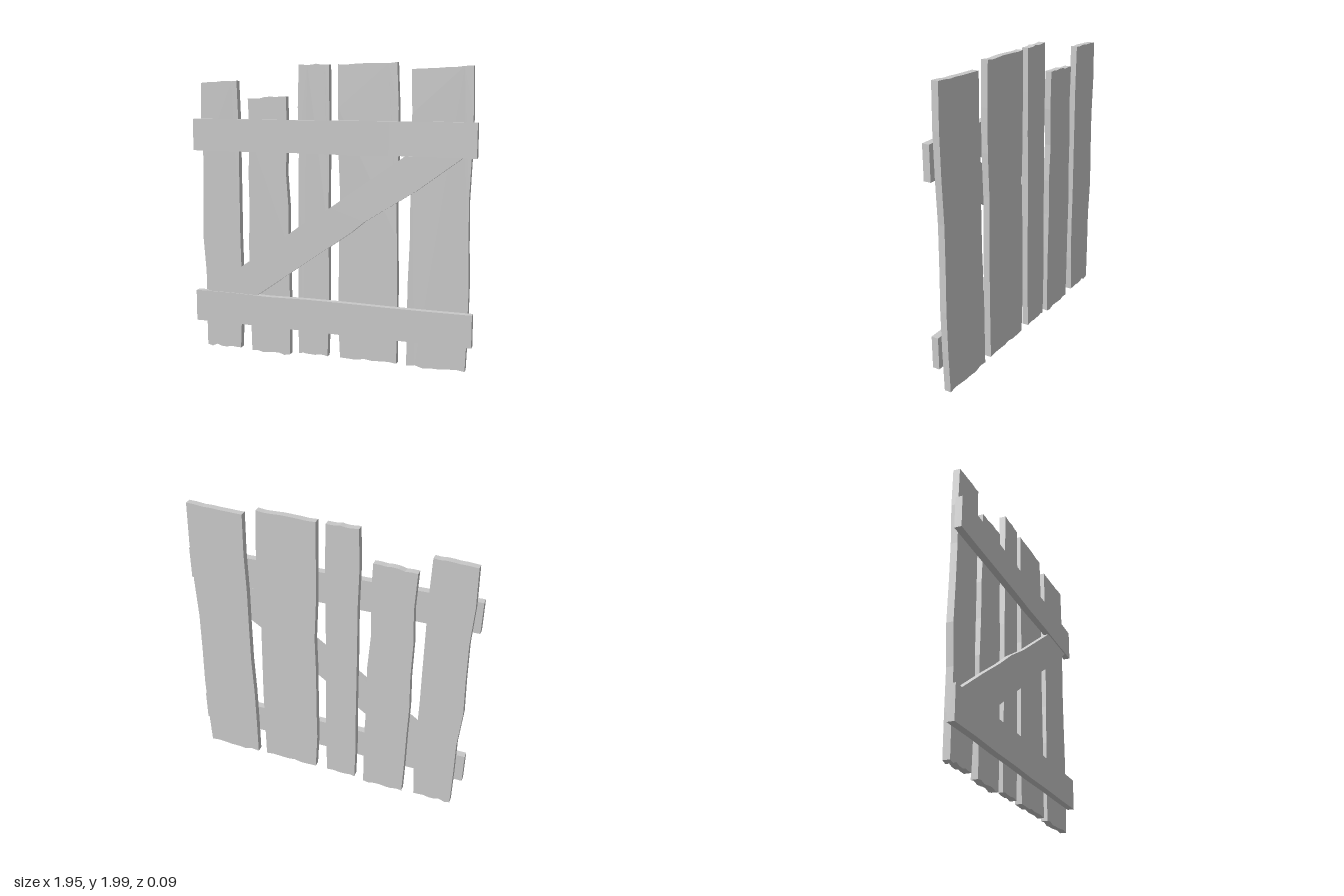
import * as THREE from 'three';

export function createModel() {
  const group = new THREE.Group();
  const wood = new THREE.MeshStandardMaterial({ color: 0xc8c8c8 });
  wood.name = 'light grey wood';

  // Small seeded noise for worn edges, from -1 to 1
  let seed = 7;
  const noise = () => {
    seed = (seed * 16807) % 2147483647;
    return (seed / 2147483647) * 2 - 1;
  };

  // Worn edge from a to b: the steps between the ends stray up or down
  function wornEdge([ax, ay], [bx, by], steps, wear) {
    return Array.from({ length: steps + 1 }, (_, i) => {
      const t = i / steps;
      const stray = i > 0 && i < steps ? noise() * wear : 0;
      return [ax + (bx - ax) * t, ay + (by - ay) * t + stray];
    });
  }

  // Flat board: an outline in the xy plane, extruded from z0 to z1
  function board(name, outline, z0, z1) {
    const shape = new THREE.Shape(outline.map(([x, y]) => new THREE.Vector2(x, y)));
    const geometry = new THREE.ExtrudeGeometry(shape, { depth: z1 - z0, bevelEnabled: false });
    geometry.translate(0, 0, z0);
    const mesh = new THREE.Mesh(geometry, wood);
    mesh.name = name;
    group.add(mesh);
  }

  // Upright plank: x of its left and right outline at even heights, worn ends
  function plank(name, bottom, topStart, topEnd, xStart, xEnd) {
    const last = xStart.length - 1;
    const side = (xs, top) => xs.map((x, i) => [x, bottom + ((top - bottom) * i) / last]);
    const start = side(xStart, topStart);
    const end = side(xEnd, topEnd);
    board(name, [
      ...wornEdge(start[0], end[0], 7, 0.009),
      ...end.slice(1, last),
      ...wornEdge(end[last], start[last], 7, 0.006),
      ...start.slice(1, last).reverse(),
    ], -0.045, 0);
  }
  plank('plank1', 0.021, 1.872, 1.885,
    [-0.92, -0.922, -0.92, -0.94, -0.93, -0.925, -0.937, -0.93],
    [-0.66, -0.647, -0.646, -0.652, -0.652, -0.653, -0.653, -0.662]);
  plank('plank2', 0.011, 1.765, 1.78,
    [-0.572, -0.578, -0.58, -0.586, -0.578, -0.582, -0.57, -0.58],
    [-0.287, -0.282, -0.285, -0.293, -0.288, -0.306, -0.295, -0.303]);
  plank('plank3', 0.027, 1.988, 1.985,
    [-0.218, -0.223, -0.218, -0.217, -0.216, -0.212, -0.218, -0.21],
    [-0.01, 0, 0, -0.002, -0.001, 0.002, 0.003, 0]);
  plank('plank4', 0.03, 1.985, 1.994,
    [0.08, 0.066, 0.07, 0.07, 0.078, 0.066, 0.064, 0.063],
    [0.472, 0.473, 0.472, 0.466, 0.46, 0.47, 0.468, 0.455]);
  plank('plank5', 0.027, 1.95, 1.967,
    [0.54, 0.54, 0.542, 0.552, 0.552, 0.55, 0.556, 0.55],
    [0.925, 0.935, 0.938, 0.93, 0.926, 0.937, 0.942, 0.934]);

  // Cross rails with slightly uneven long edges
  function rail(name, x0, x1, bottomStart, bottomEnd, topStart, topEnd) {
    board(name, [
      ...wornEdge([x0, bottomStart], [x1, bottomEnd], 7, 0.004),
      ...wornEdge([x1, topEnd], [x0, topStart], 7, 0.004),
    ], 0, 0.047);
  }
  rail('topRail', -0.975, 0.976, 1.413, 1.403, 1.628, 1.622);
  rail('bottomRail', -0.978, 0.971, 0.206, 0.202, 0.424, 0.416);

  // Diagonal brace between the rails
  board('diagonalBrace', [
    [-0.9, 0.422], [-0.51, 0.422], [-0.25, 0.605], [0.17, 0.9], [0.26, 0.975], [0.6, 1.19],
    [0.89, 1.405], [0.52, 1.405], [0.02, 1.055], [-0.19, 0.925], [-0.38, 0.785], [-0.6, 0.635],
  ], 0, 0.038);

  return group;
}
